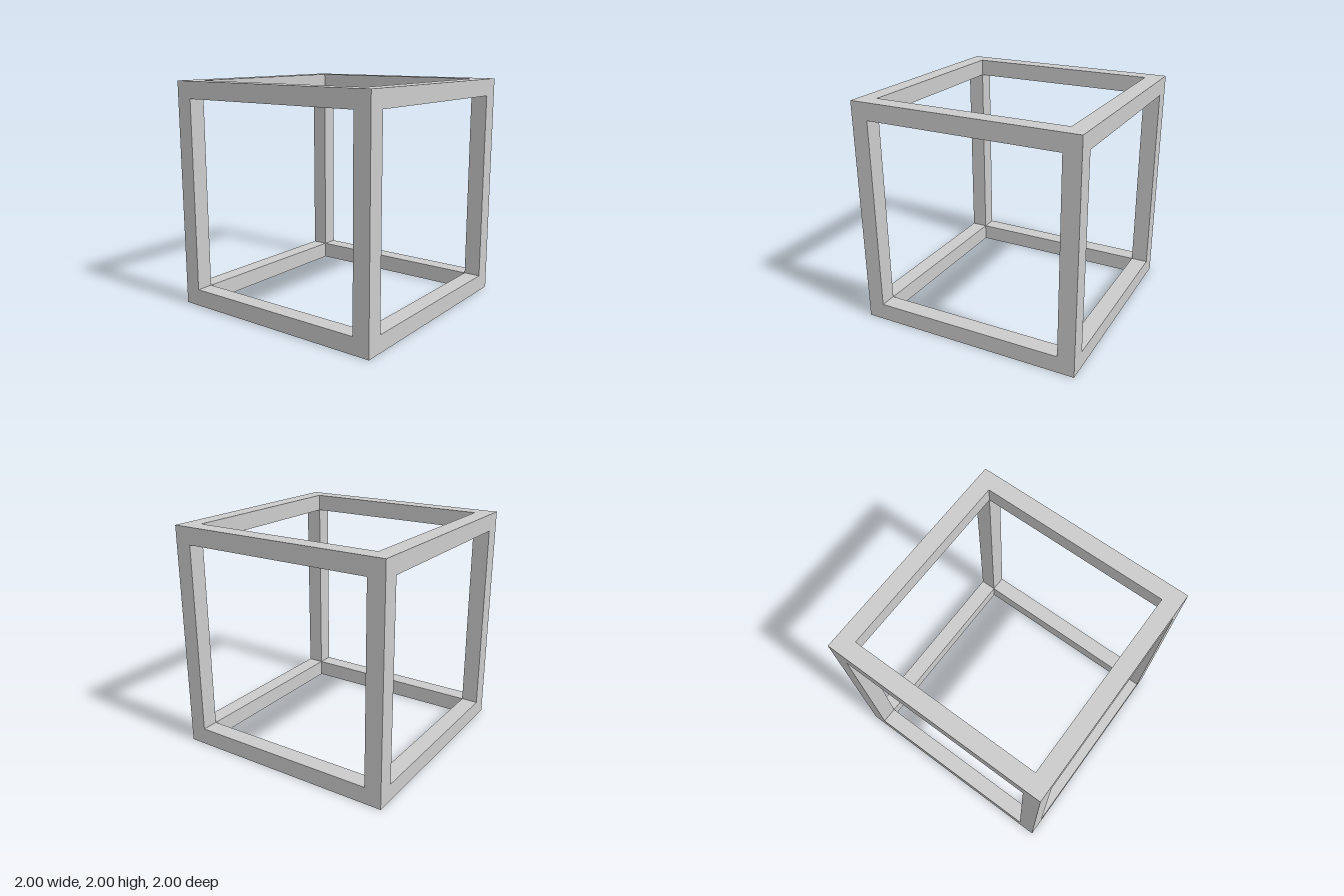
import * as THREE from 'three';

const HALF = 1, BAR = 0.15, INNER = HALF - BAR;
const material = new THREE.MeshStandardMaterial({ color: 0xcccccc, flatShading: true });

function squarePath(path, r) {
  path.moveTo(-r, -r);
  path.lineTo(r, -r);
  path.lineTo(r, r);
  path.lineTo(-r, r);
  path.closePath();
  return path;
}

// Horizontal square ring from height y, with optional extra holes
function ring(name, y, height, holes = []) {
  const shape = squarePath(new THREE.Shape(), HALF);
  shape.holes.push(squarePath(new THREE.Path(), INNER), ...holes);
  const geometry = new THREE.ExtrudeGeometry(shape, { depth: height, bevelEnabled: false });
  geometry.rotateX(-Math.PI / 2);
  const mesh = new THREE.Mesh(geometry, material);
  mesh.name = name;
  mesh.position.y = y;
  return mesh;
}

export function createModel() {
  const group = new THREE.Group();
  group.name = 'cubeFrame';

  // Bottom ring, with a tiny blind hole under the back right corner
  const recess = 0.03;
  const pinHole = new THREE.Path().absarc(0.93, 0.89, 0.015, 0, Math.PI * 2, true);
  group.add(ring('bottomRingUnderside', 0, recess, [pinHole]));
  group.add(ring('bottomRing', recess, BAR - recess));

  // Top ring
  group.add(ring('topRing', 2 - BAR, BAR));

  // Four corner posts between the rings
  const postGeometry = new THREE.BoxGeometry(BAR, 2 - 2 * BAR, BAR);
  const offset = HALF - BAR / 2;
  for (const x of [-1, 1]) {
    for (const z of [-1, 1]) {
      const post = new THREE.Mesh(postGeometry, material);
      post.name = `${z > 0 ? 'front' : 'back'}${x > 0 ? 'Left' : 'Right'}Post`;
      post.position.set(x * offset, 1, z * offset);
      group.add(post);
    }
  }
  return group;
}
